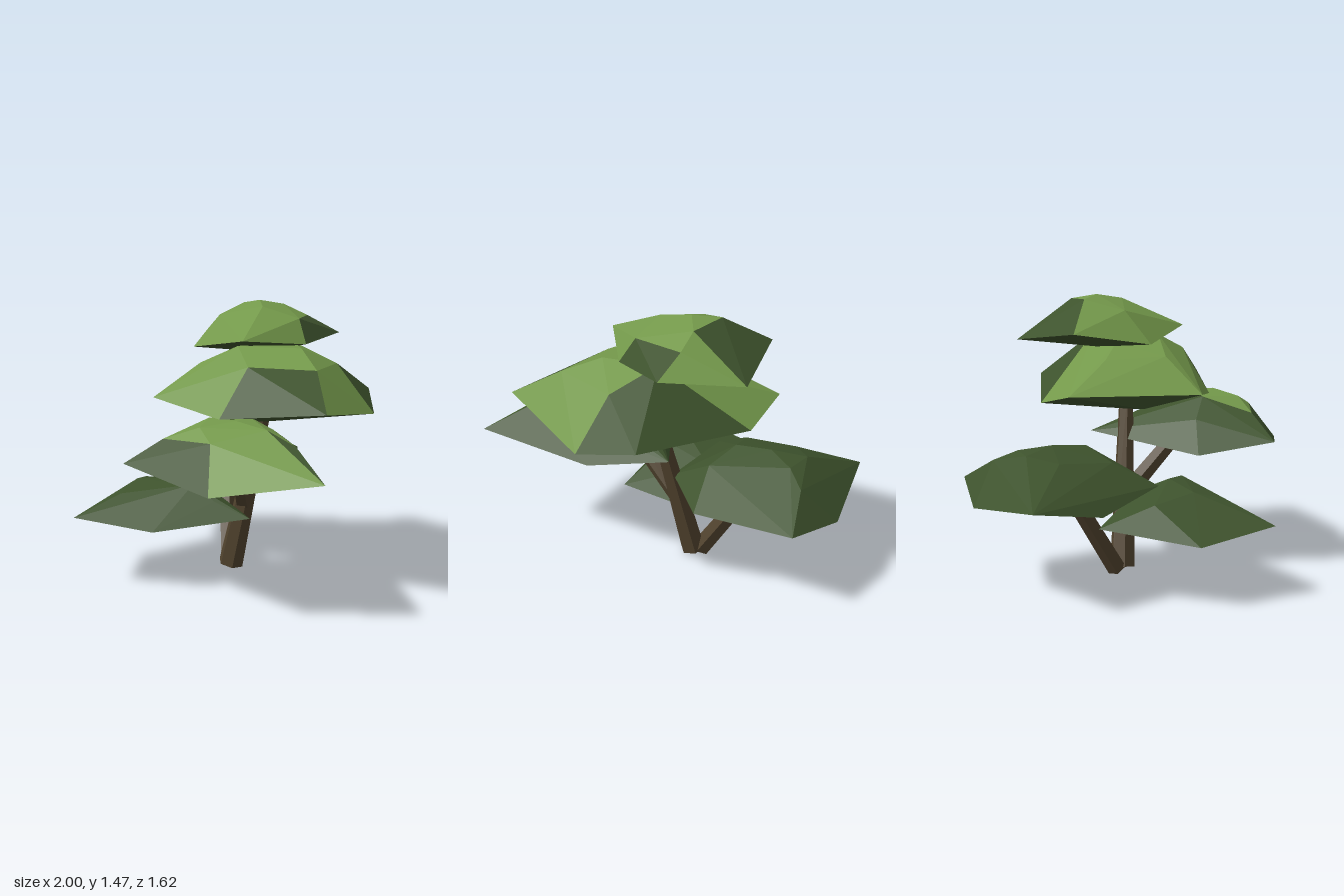
import * as THREE from 'three';
import { ConvexGeometry } from 'three/addons/geometries/ConvexGeometry.js';

const material = (name, color) => {
  const m = new THREE.MeshStandardMaterial({ color, flatShading: true });
  m.name = name;
  return m;
};

// Tapered limb between two points
function limb(name, from, to, r0, r1, sides, mat) {
  const a = new THREE.Vector3(...from), b = new THREE.Vector3(...to);
  const dir = b.clone().sub(a);
  const mesh = new THREE.Mesh(new THREE.CylinderGeometry(r1, r0, dir.length(), sides), mat);
  mesh.position.copy(a).add(b).multiplyScalar(0.5);
  mesh.quaternion.setFromUnitVectors(new THREE.Vector3(0, 1, 0), dir.normalize());
  mesh.name = name;
  return mesh;
}

// Faceted leaf pad: hull of a rim (counterclockwise from above), an underside point and a crown.
// The underside is dark, and so is each listed rim side i (rim point i to i + 1) below the level.
function leafPad(name, mats, { rim, under, crown, level = 0, darkSides = [] }) {
  const points = [...rim, under, ...crown].map((p) => new THREE.Vector3(...p));
  const hull = new ConvexGeometry(points);
  const pos = hull.attributes.position, nor = hull.attributes.normal;
  const turn = (a, b) => (a[2] - under[2]) * (b[0] - under[0]) - (a[0] - under[0]) * (b[2] - under[2]);
  const faces = [[], []];
  for (let i = 0; i < pos.count; i += 3) {
    const corners = [0, 1, 2].map((k) => new THREE.Vector3().fromBufferAttribute(pos, i + k));
    const mid = [0, 1, 2].map((k) => corners.reduce((s, c) => s + c.getComponent(k) / 3, 0));
    const side = mid[1] < level && darkSides.some((s) =>
      turn(rim[s], mid) >= 0 && turn(mid, rim[(s + 1) % rim.length]) >= 0);
    const list = faces[nor.getY(i) < 0 || side ? 1 : 0];
    corners.forEach((c) => list.push(c.x, c.y, c.z));
  }
  const geo = new THREE.BufferGeometry();
  geo.setAttribute('position', new THREE.Float32BufferAttribute(faces.flat(), 3));
  geo.addGroup(0, faces[0].length / 3, 0);
  geo.addGroup(faces[0].length / 3, faces[1].length / 3, 1);
  geo.computeVertexNormals();
  const mesh = new THREE.Mesh(geo, mats);
  mesh.name = name;
  return mesh;
}

export function createModel() {
  const tree = new THREE.Group();
  tree.name = 'tree';
  const light = material('lightLeaf', 0x74994b);
  const dark = material('darkLeaf', 0x3e532d);
  const bark = material('bark', 0x51432e);
  const mixed = [light, dark], shade = [dark, dark];

  // Trunk and side branches
  tree.add(
    limb('trunk', [-0.1, 0.03, -0.055], [0.13, 0.95, -0.11], 0.07, 0.038, 6, bark),
    limb('rightBranch', [-0.14, 0.03, -0.07], [-0.37, 0.46, -0.22], 0.053, 0.045, 5, bark),
    limb('leftBranch', [0.0, 0.4, -0.07], [0.2, 0.68, 0.13], 0.05, 0.042, 5, bark),
  );

  // Leaf pads from the top down
  tree.add(leafPad('topPad', mixed, {
    rim: [[-0.18, 1.235, 0.13], [0.29, 1.3, 0.16], [0.31, 1.265, -0.23],
      [0.18, 1.3, -0.575], [-0.24, 1.245, -0.58], [-0.47, 1.3, -0.17]],
    under: [-0.04, 1.2, -0.2],
    crown: [[-0.05, 1.475, -0.21], [-0.2, 1.455, -0.22], [0.09, 1.45, -0.12], [-0.03, 1.45, -0.36],
      [0.05, 1.39, -0.46], [0.23, 1.39, -0.25], [0.16, 1.385, 0], [-0.15, 1.4, -0.02]],
    level: 1.385, darkSides: [2, 4],
  }));

  tree.add(leafPad('upperPad', mixed, {
    rim: [[-0.165, 0.99, 0.395], [0.3, 0.93, 0.31], [0.83, 1, 0.085], [0.56, 0.915, -0.48],
      [0.3, 1, -0.69], [-0.31, 0.93, -0.42], [-0.52, 1, -0.18], [-0.27, 0.92, 0.12]],
    under: [0.12, 0.85, -0.11],
    crown: [[0.13, 1.26, 0.07], [0.38, 1.255, -0.14], [0.13, 1.26, -0.3], [-0.06, 1.225, -0.1],
      [0.58, 1.168, -0.07], [-0.22, 1.15, -0.1], [-0.06, 1.165, 0.17], [0.32, 1.175, 0.15],
      [0.38, 1.165, -0.38], [0.16, 1.165, -0.42]],
    level: 1.15, darkSides: [1, 3, 4],
  }));

  tree.add(leafPad('leftPad', mixed, {
    rim: [[0.075, 0.725, 0.72], [0.63, 0.65, 0.61], [0.995, 0.725, 0.235],
      [0.48, 0.65, -0.13], [0.08, 0.725, -0.3], [-0.06, 0.655, 0.35]],
    under: [0.36, 0.6, 0.24],
    crown: [[0.43, 0.94, 0.3], [0.2, 0.925, 0.3], [0.6, 0.915, 0.25], [0.35, 0.915, 0.46],
      [0.35, 0.935, 0.16], [0.2, 0.85, 0.57], [0.48, 0.86, 0.49], [0.75, 0.855, 0.2],
      [0.07, 0.82, 0.3], [0.4, 0.865, 0.05]],
    level: 0.87, darkSides: [0, 2, 3, 4, 5],
  }));

  tree.add(leafPad('rightPad', shade, {
    rim: [[-0.3, 0.54, 0.21], [0.02, 0.535, -0.1], [-0.02, 0.5, -0.45], [-0.43, 0.54, -0.81],
      [-0.73, 0.465, -0.6], [-1, 0.54, -0.16], [-0.69, 0.465, 0.06]],
    under: [-0.5, 0.42, -0.27],
    crown: [[-0.63, 0.72, -0.36], [-0.62, 0.69, -0.19], [-0.455, 0.745, -0.3], [-0.3, 0.725, -0.18],
      [-0.51, 0.72, -0.46], [-0.14, 0.655, -0.25], [-0.53, 0.665, -0.59], [-0.4, 0.665, 0]],
  }));

  tree.add(leafPad('frontPad', shade, {
    rim: [[-0.295, 0.385, 0.805], [0.015, 0.33, 0.525], [0.26, 0.385, 0.09], [0.03, 0.335, -0.05],
      [-0.62, 0.385, 0.01], [-0.585, 0.33, 0.51]],
    under: [-0.23, 0.285, 0.27],
    crown: [[-0.33, 0.53, 0.4], [-0.02, 0.535, 0.25], [-0.15, 0.545, 0.22], [-0.49, 0.49, 0.25],
      [-0.25, 0.485, 0.55], [0.1, 0.46, 0.2], [-0.2, 0.48, 0.06]],
  }));

  return tree;
}
